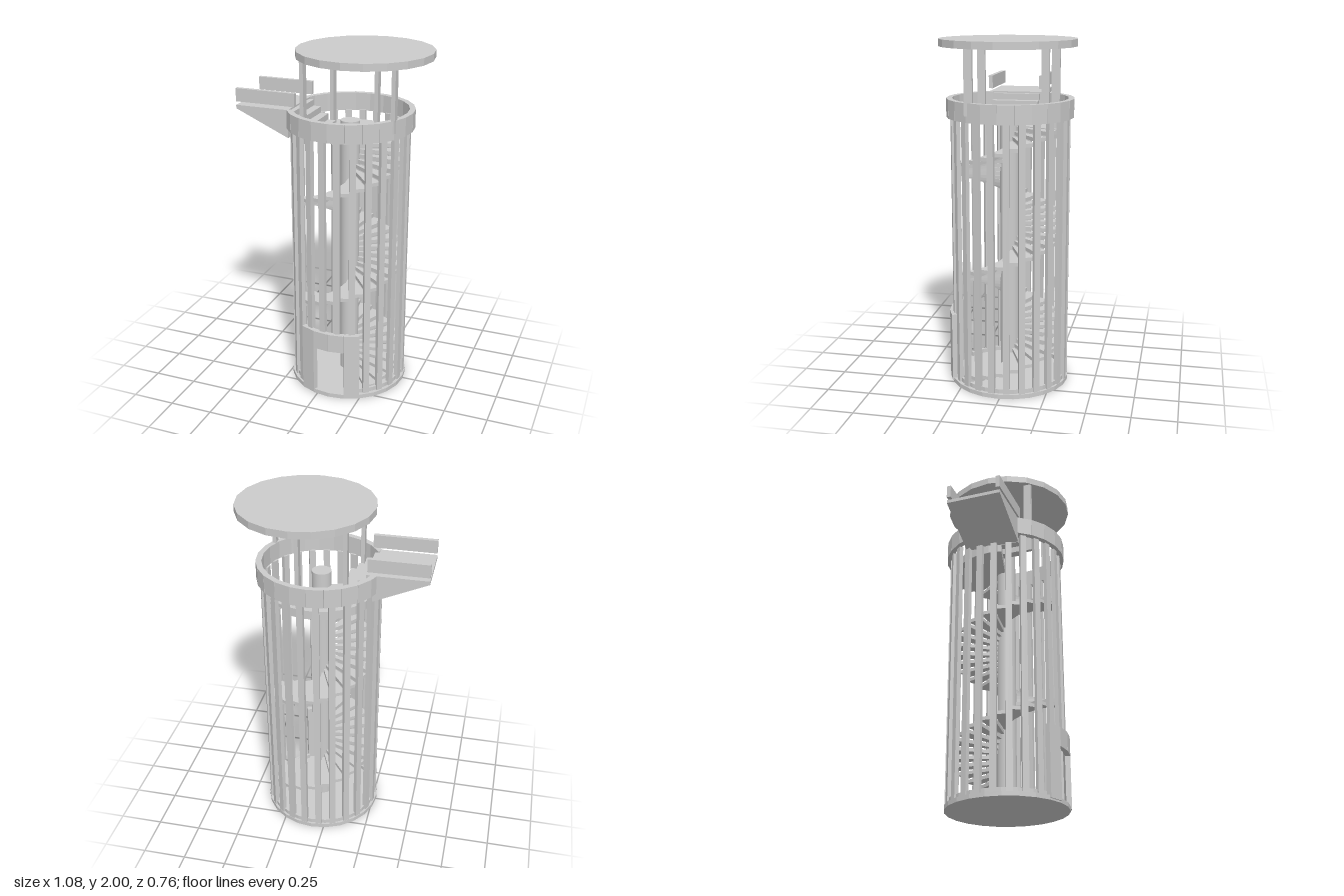
import * as THREE from 'three';

const CX = 0.075, CZ = 0.005; // tower axis
const rad = THREE.MathUtils.degToRad;
const mat = new THREE.MeshStandardMaterial({ color: 0xcccccc, flatShading: true });
const smooth = new THREE.MeshStandardMaterial({ color: 0xcccccc });

function add(parent, name, geometry, x = 0, y = 0, z = 0, material = mat) {
  const mesh = new THREE.Mesh(geometry, material);
  mesh.name = name;
  mesh.position.set(x, y, z);
  parent.add(mesh);
  return mesh;
}

// box given by its limits
function block(parent, name, x0, x1, y0, y1, z0, z1) {
  return add(parent, name, new THREE.BoxGeometry(x1 - x0, y1 - y0, z1 - z0),
    (x0 + x1) / 2, (y0 + y1) / 2, (z0 + z1) / 2);
}

// box standing on the tower wall; angle in degrees from +z towards +x
function wallBox(parent, name, angle, r, width, depth, y0, y1) {
  const a = rad(angle);
  const mesh = add(parent, name, new THREE.BoxGeometry(width, y1 - y0, depth),
    r * Math.sin(a), (y0 + y1) / 2, r * Math.cos(a));
  mesh.rotation.y = a;
  return mesh;
}

// horizontal ring sector between two radii and two angles
function sector(r0, r1, a0, a1, height) {
  const n = Math.max(1, Math.round((a1 - a0) / 15));
  const at = (r, i) => {
    const a = rad(a0 + (a1 - a0) * i / n);
    return new THREE.Vector2(r * Math.sin(a), -r * Math.cos(a));
  };
  const pts = [];
  for (let i = 0; i <= n; i++) pts.push(at(r1, i));
  for (let i = n; i >= 0; i--) pts.push(at(r0, i));
  const g = new THREE.ExtrudeGeometry(new THREE.Shape(pts), { depth: height, bevelEnabled: false });
  return g.rotateX(-Math.PI / 2);
}

export function createModel() {
  const model = new THREE.Group();
  model.name = 'spiralStairTower';
  const tower = new THREE.Group();
  tower.name = 'tower';
  tower.position.set(CX, 0, CZ);
  model.add(tower);

  // base, curb and central column
  add(tower, 'base', new THREE.CylinderGeometry(0.347, 0.347, 0.025, 24), 0, 0.0125, 0.005);
  add(tower, 'curb', sector(0.315, 0.33, 30, 330, 0.025), 0, 0.025, 0);
  add(tower, 'column', new THREE.CylinderGeometry(0.055, 0.055, 1.58, 24), 0, 0.81, 0.005, smooth);

  // cage posts and the block ring on top, open at the balcony
  for (let i = 0; i < 24; i++) {
    const angle = 7.5 + i * 15;
    const atGap = angle > 255 && angle < 300;
    const off = Math.min(angle, 360 - angle);
    const bottom = off < 30 ? 0.4 : 0.025;
    wallBox(tower, 'cagePost', angle, 0.326, 0.036, 0.024, bottom, atGap ? 1.51 : 1.57);
    const open = angle > 240 + 15 && angle < 285 + 15;
    if (!open) wallBox(tower, 'ringBlock', angle, 0.341, 0.092, 0.032, 1.565, 1.67);
  }

  // doorway: two jambs and a lintel of two blocks
  for (const s of [-1, 1]) {
    wallBox(tower, 'doorJamb', s * 22.5, 0.341, 0.09, 0.03, 0.01, 0.42);
    wallBox(tower, 'doorLintel', s * 7.5, 0.341, 0.092, 0.03, 0.31, 0.42);
  }

  // spiral stair, 24 steps to the turn
  const stair = new THREE.Group();
  stair.name = 'spiralStair';
  tower.add(stair);
  const wedge = sector(0.05, 0.31, -7.5, 7.5, 0.02);
  for (let i = 0; i <= 55; i++) {
    const step = add(stair, 'step', wedge, 0, 0.035 + i * 0.02645, 0);
    step.rotation.y = rad(45 + i * 15);
  }
  add(tower, 'landing', sector(0.05, 0.31, 157.5, 285, 0.05), 0, 1.465, 0);

  // straight steps from the landing up to the balcony
  for (let i = 0; i < 4; i++) {
    const x = -0.06 - i * 0.045;
    block(model, 'balconyStep', x - 0.05, x, 1.515 + i * 0.037, 1.55 + i * 0.037, -0.11, 0.165);
  }

  // wedge-shaped balcony with two side rails
  const profile = new THREE.Shape([
    new THREE.Vector2(-0.54, 1.65), new THREE.Vector2(-0.225, 1.51),
    new THREE.Vector2(-0.225, 1.67), new THREE.Vector2(-0.54, 1.67),
  ]);
  add(model, 'balcony', new THREE.ExtrudeGeometry(profile, { depth: 0.32, bevelEnabled: false }), 0, 0, -0.13);
  block(model, 'railBack', -0.54, -0.205, 1.69, 1.765, -0.132, -0.108);
  block(model, 'railFront', -0.54, -0.185, 1.69, 1.765, 0.166, 0.19);

  // roof on four flat posts
  const roofPosts = [[-0.12, 0.218, 1.5], [0.38, 0.17, 1.6], [0.14, -0.262, 1.5], [-0.097, -0.165, 1.5]];
  for (const [x, z, y] of roofPosts) {
    block(model, 'roofPost', x - 0.011, x + 0.011, y, 1.965, z - 0.023, z + 0.023);
  }
  add(model, 'roof', new THREE.CylinderGeometry(0.381, 0.381, 0.04, 20), 0.155, 1.98, 0);

  return model;
}
